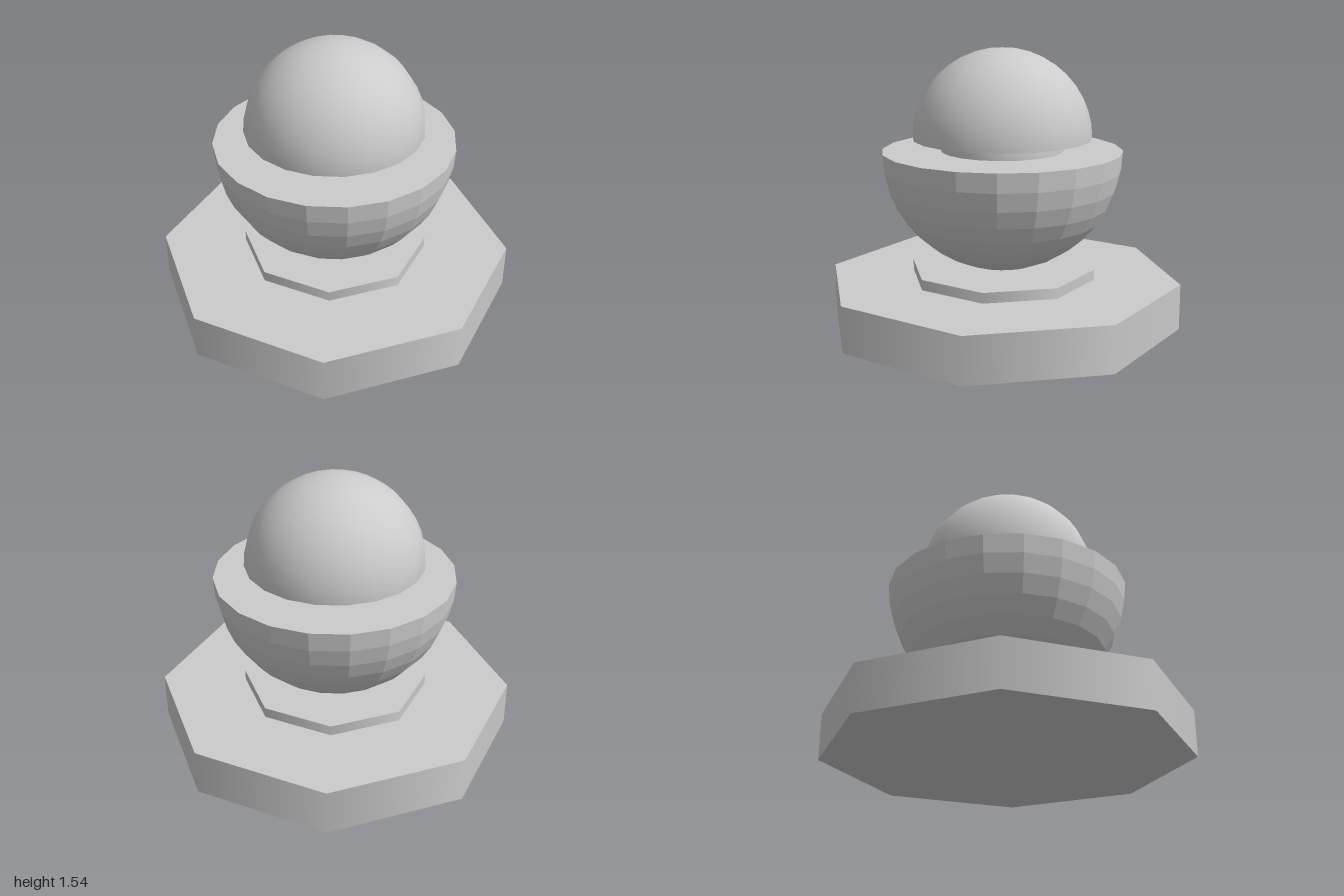
import * as THREE from 'three';

const smooth = new THREE.MeshStandardMaterial({ color: 0xcccccc });
const faceted = new THREE.MeshStandardMaterial({ color: 0xcccccc, flatShading: true });

export function createModel() {
  const model = new THREE.Group();

  function add(name, geometry, y, material = smooth, parent = model) {
    const mesh = new THREE.Mesh(geometry, material);
    mesh.name = name;
    mesh.position.y = y;
    parent.add(mesh);
    return mesh;
  }

  // Octagonal slab standing on the ground
  function slab(name, radius, bottom, top) {
    add(name, new THREE.CylinderGeometry(radius, radius, top - bottom, 8), (bottom + top) / 2);
  }

  // Half sphere with a flat disc closing its open side
  function halfSphere(name, radius, y, upper, material) {
    const group = new THREE.Group();
    group.name = name;
    group.position.y = y;
    const start = upper ? 0 : Math.PI / 2;
    add(name + 'Shell', new THREE.SphereGeometry(radius, 20, 10, 0, Math.PI * 2, start, Math.PI / 2), 0, material, group);
    const cap = add(name + 'Cap', new THREE.CircleGeometry(radius, 20), 0, material, group);
    cap.rotation.x = upper ? Math.PI / 2 : -Math.PI / 2;
    model.add(group);
  }

  slab('base', 1, 0, 0.257);
  slab('baseStep', 0.522, 0.257, 0.315);

  halfSphere('bowl', 0.667, 0.978, false, faceted);
  halfSphere('neck', 0.342, 0.978, true, smooth);
  halfSphere('dome', 0.496, 1.045, true, smooth);

  return model;
}
